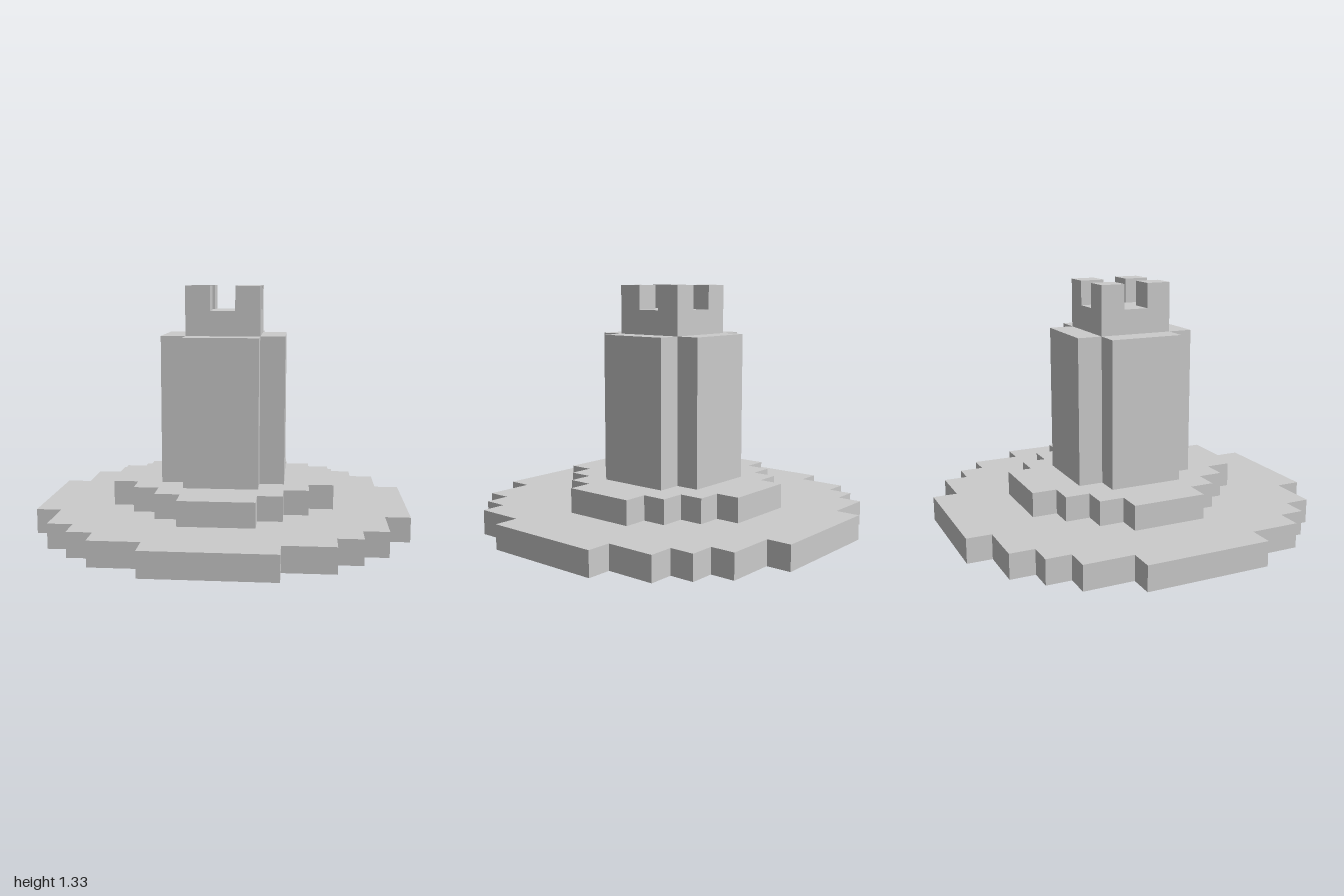
import * as THREE from 'three';

const U = 2 / 15; // one block

export function createModel() {
  const model = new THREE.Group();
  const material = new THREE.MeshStandardMaterial({ color: 0xcccccc, flatShading: true });

  // Stepped slab: outer corners of one quadrant, counter-clockwise from +x, repeated by quarter turns.
  function slab(name, corners, bottom, top) {
    const quadrant = [];
    corners.forEach(([x, y], i) => {
      quadrant.push([x, y]);
      if (i < corners.length - 1) quadrant.push([corners[i + 1][0], y]);
    });
    const points = [];
    for (let turn = 0; turn < 4; turn++) {
      const c = [1, 0, -1, 0][turn], s = [0, 1, 0, -1][turn];
      for (const [x, y] of quadrant) {
        points.push(new THREE.Vector2((x * c - y * s) * U, (x * s + y * c) * U));
      }
    }
    const geometry = new THREE.ExtrudeGeometry(new THREE.Shape(points), {
      depth: (top - bottom) * U, bevelEnabled: false,
    });
    geometry.rotateX(-Math.PI / 2).translate(0, bottom * U, 0);
    const mesh = new THREE.Mesh(geometry, material);
    mesh.name = name;
    model.add(mesh);
  }

  // Round stepped base, plinth, cross-shaped tower and its square cap
  slab('base', [[7.5, 2.5], [6.5, 4.5], [5.5, 5.5], [4.5, 6.5], [2.5, 7.5]], 0, 1);
  slab('plinth', [[4.5, 1.5], [3.5, 2.5], [2.5, 3.5], [1.5, 4.5]], 1, 2);
  slab('towerShaft', [[2.5, 1.5], [1.5, 2.5]], 2, 8);
  slab('towerCap', [[1.5, 1.5]], 8, 9);

  // Corner merlons
  const block = new THREE.BoxGeometry(U, U, U);
  for (const x of [-1, 1]) {
    for (const z of [-1, 1]) {
      const merlon = new THREE.Mesh(block, material);
      merlon.name = `${z > 0 ? 'front' : 'back'}${x > 0 ? 'Left' : 'Right'}Merlon`;
      merlon.position.set(x * U, 9.5 * U, z * U);
      model.add(merlon);
    }
  }
  return model;
}
